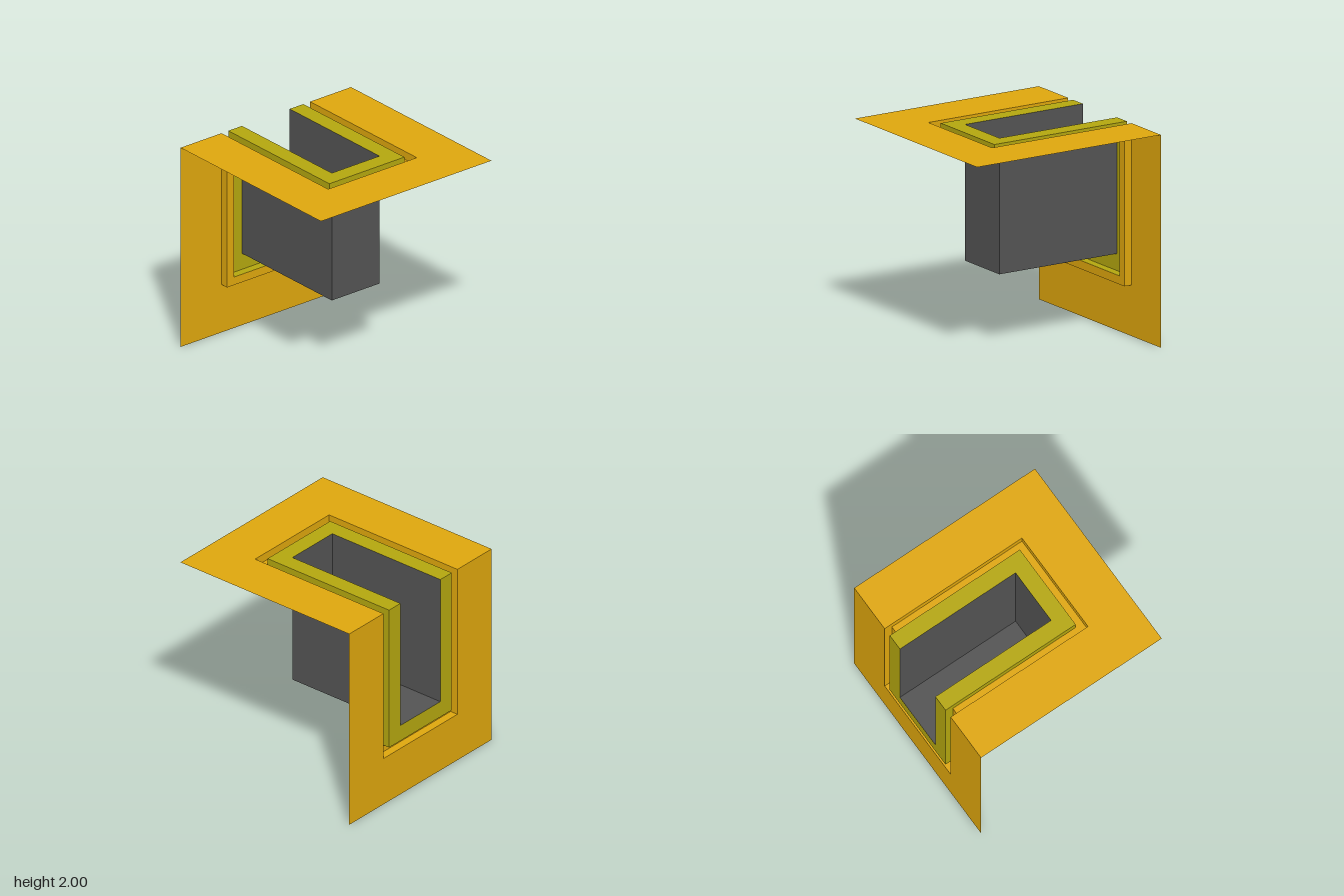
import * as THREE from 'three';
import { mergeGeometries } from 'three/addons/utils/BufferGeometryUtils.js';

const STEP = 0.08; // depth of the recessed channel

// Flat outline in 2D, placed in space by a mapping (a, b) -> [x, y, z]
function sheet(points, map) {
  const g = new THREE.ShapeGeometry(new THREE.Shape(points.map(p => new THREE.Vector2(...p))));
  const pos = g.attributes.position;
  for (let i = 0; i < pos.count; i++) pos.setXYZ(i, ...map(pos.getX(i), pos.getY(i)));
  g.computeVertexNormals();
  return g;
}

// Positions measured from the folded edge (y = 2, z = -1):
// u across, d along the surface, o offset inward
const faces = {
  top: (u, d, o) => [u, 2 - o, -1 + d],
  back: (u, d, o) => [u, 2 - d, -1 + o],
};

// U-shaped flat band on both faces, between an outer and an inner cutout size
function bands(wOut, dOut, wIn, dIn, o) {
  const outline = [[-wOut, o], [-wIn, o], [-wIn, dIn], [wIn, dIn], [wIn, o], [wOut, o], [wOut, dOut], [-wOut, dOut]];
  return Object.values(faces).map(f => sheet(outline, (u, d) => f(u, d, o)));
}

// Step walls: an L-shaped side left and right, plus an end wall on each face
function walls(w, d) {
  const ell = [[0, 0], [d, 0], [d, STEP], [STEP, STEP], [STEP, d], [0, d]];
  const sides = [-w, w].map(x => sheet(ell, (a, b) => [x, 2 - b, -1 + a]));
  const rect = [[-w, 0], [w, 0], [w, STEP], [-w, STEP]];
  const ends = Object.values(faces).map(f => sheet(rect, (u, o) => f(u, d, o)));
  return [...sides, ...ends];
}

// Open box: two sides, floor and front, without top and back
function pocket(w, d) {
  const square = [[0, 0], [d, 0], [d, d], [0, d]];
  const sides = [-w, w].map(x => sheet(square, (a, b) => [x, 2 - b, -1 + a]));
  const rect = [[-w, 0], [w, 0], [w, d], [-w, d]];
  const ends = Object.values(faces).map(f => sheet(rect, (u, o) => f(u, d, o)));
  return [...sides, ...ends];
}

export function createModel() {
  const model = new THREE.Group();
  model.name = 'foldedPanelWithPocket';
  const add = (name, color, geometries) => {
    const mesh = new THREE.Mesh(
      mergeGeometries(geometries),
      new THREE.MeshStandardMaterial({ color, side: THREE.DoubleSide }),
    );
    mesh.name = name;
    model.add(mesh);
  };
  const orange = 0xdea60d, olive = 0xb3a60f, grey = 0x535353;

  // Outer panels and the channel sunk into them
  add('outerPanels', orange, bands(1, 2, 0.52, 1.52, 0));
  add('channelWalls', orange, walls(0.52, 1.52));
  add('channelFloor', orange, bands(0.52, 1.52, 0.44, 1.44, STEP));
  // Raised rim around the opening
  add('rimWalls', olive, walls(0.44, 1.44));
  add('rimFace', olive, bands(0.44, 1.44, 0.28, 1.28, 0));
  // Box hanging inside the opening
  add('pocket', grey, pocket(0.28, 1.28));
  return model;
}
